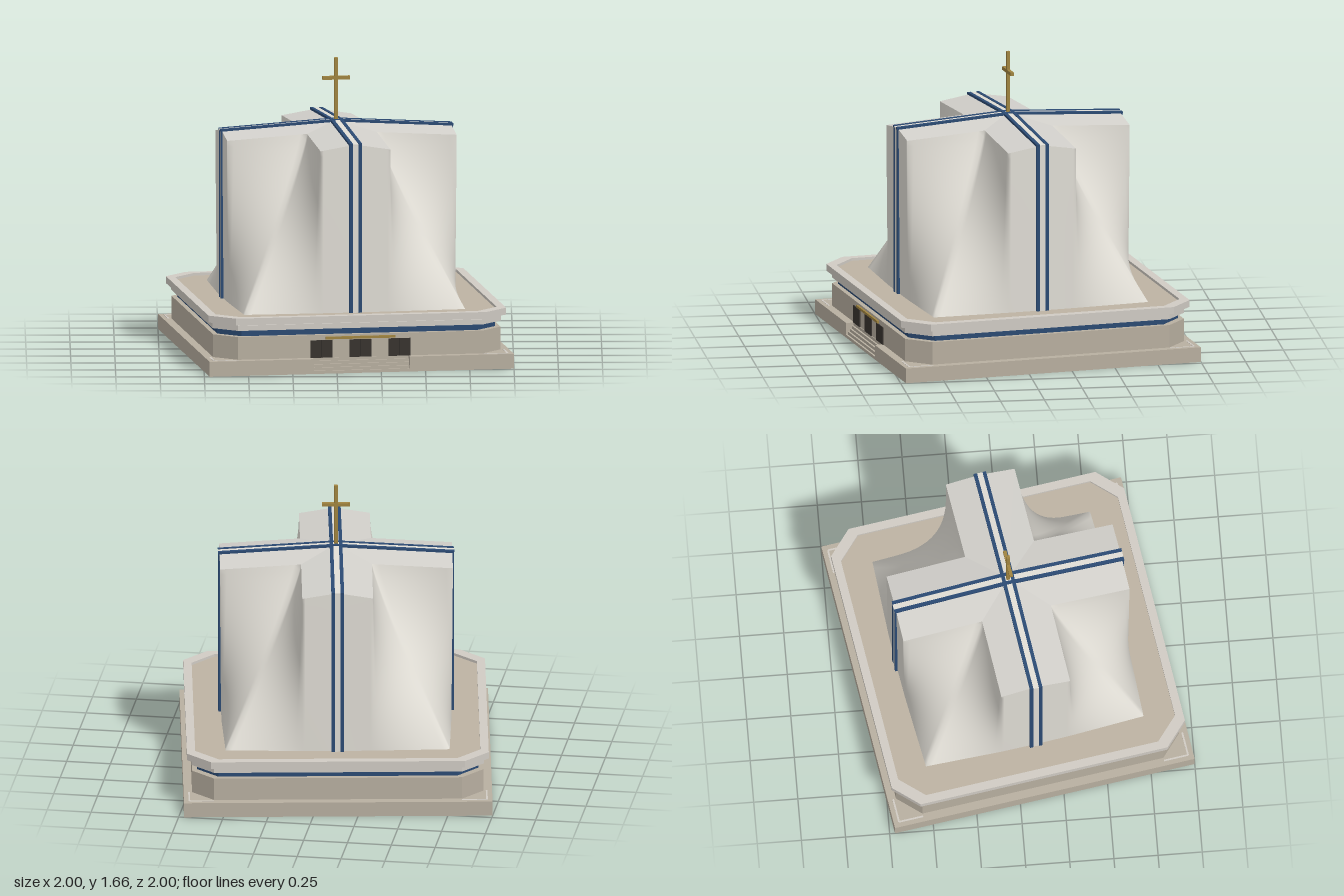
import * as THREE from 'three';

const mat = (color, extra = {}) => new THREE.MeshStandardMaterial({ color, ...extra });
const stone = mat(0xb8afa0), pale = mat(0xd0cbc4), deckTan = mat(0xbdb3a3);
const blue = mat(0x2b4a73), gold = mat(0xa08440), dark = mat(0x38332f), white = mat(0xe0ddd5);

function add(parent, name, geometry, material, x = 0, y = 0, z = 0) {
  const mesh = new THREE.Mesh(geometry, material);
  mesh.name = name;
  mesh.position.set(x, y, z);
  parent.add(mesh);
  return mesh;
}
const box = (parent, name, m, w, h, d, x, y, z) =>
  add(parent, name, new THREE.BoxGeometry(w, h, d), m, x, y, z);

// Plan outlines as [x, z] points
const octagon = (h, c) => [[c, h], [h, c], [h, -c], [c, -h], [-c, -h], [-h, -c], [-h, c], [-c, h]];
const toVectors = (pts) => pts.map(([x, z]) => new THREE.Vector2(x, -z));

// Horizontal slab between two heights, with an optional opening
function slab(parent, name, m, pts, y0, y1, hole) {
  const shape = new THREE.Shape(toVectors(pts));
  if (hole) shape.holes.push(new THREE.Path(toVectors(hole)));
  const g = new THREE.ExtrudeGeometry(shape, { depth: y1 - y0, bevelEnabled: false });
  g.rotateX(-Math.PI / 2);
  return add(parent, name, g, m, 0, y0, 0);
}

// One quarter of the cross plan at the roof [x, z, y], and the matching square foot
const ARM = 0.657, HALF = 0.2, FOOT = 0.32, APEX = 1.31;
const TOP = [[0, ARM, 1.27], [HALF, ARM, 1.237], [HALF, HALF, 1.265], [ARM, HALF, 1.237], [ARM, 0, 1.27]];
const BASE = [[0, 0.65], [HALF, 0.648], [0.635, 0.635], [0.648, HALF], [0.65, 0]];
const turn = (x, z, q) => {
  for (let i = 0; i < q; i++) [x, z] = [z, -x];
  return [x, z];
};

function towerGeometry() {
  const seg = 12, rows = 28, cols = 4 * 4 * seg;
  const pos = [], index = [];
  const mix = THREE.MathUtils.lerp;
  for (let j = 0; j <= rows; j++) {
    const t = j / rows, s = Math.pow(t, 1.15);
    for (let i = 0; i < cols; i++) {
      const q = Math.floor(i / (4 * seg)), k = i % (4 * seg);
      const p = Math.floor(k / seg), f = (k % seg) / seg;
      const [a, b, c, d] = [TOP[p], TOP[p + 1], BASE[p], BASE[p + 1]];
      const x = mix(mix(a[0], b[0], f), mix(c[0], d[0], f), s);
      const z = mix(mix(a[1], b[1], f), mix(c[1], d[1], f), s);
      const [rx, rz] = turn(x, z, q);
      pos.push(rx, mix(mix(a[2], b[2], f), FOOT - 0.015, t), rz);
      if (j < rows) {
        const n = (i + 1) % cols, o = j * cols;
        index.push(o + i, o + cols + i, o + cols + n, o + i, o + cols + n, o + n);
      }
    }
  }
  const g = new THREE.BufferGeometry();
  g.setAttribute('position', new THREE.Float32BufferAttribute(pos, 3));
  g.setIndex(index);
  g.computeVertexNormals();
  return g;
}

function roofGeometry() {
  const pos = [];
  for (let q = 0; q < 4; q++) {
    for (let p = 0; p < 4; p++) {
      pos.push(0, APEX, 0);
      for (const [x, z, y] of [TOP[p], TOP[p + 1]]) {
        const [rx, rz] = turn(x, z, q);
        pos.push(rx, y, rz);
      }
    }
  }
  const g = new THREE.BufferGeometry();
  g.setAttribute('position', new THREE.Float32BufferAttribute(pos, 3));
  g.computeVertexNormals();
  return g;
}

export function createModel() {
  const model = new THREE.Group();
  model.name = 'cathedral';
  const body = new THREE.Group();
  body.name = 'building';
  body.rotation.y = 0.1615;
  model.add(body);

  // Plinth with a stair recess in its front edge
  const P = 0.871, SW = 0.275, SZ = 0.808, PH = 0.085;
  slab(body, 'plinth', stone,
    [[-P, P], [-SW, P], [-SW, SZ], [SW, SZ], [SW, P], [P, P], [P, -P], [-P, -P]], 0, PH);
  for (let i = 0; i < 5; i++) {
    const h = PH * (i + 1) / 5, z1 = P - 0.011 * i;
    box(body, 'frontStep', stone, SW * 2, h, z1 - SZ, 0, h / 2, (z1 + SZ) / 2);
  }

  // Pale corner lines on the plinth
  for (const sx of [-1, 1]) for (const sz of [-1, 1]) {
    box(body, 'cornerLine', pale, 0.14, 0.003, 0.01, sx * 0.77, PH, sz * 0.84);
    box(body, 'cornerLine', pale, 0.01, 0.003, 0.14, sx * 0.84, PH, sz * 0.77);
  }

  // Podium, blue band, cornice and parapet
  slab(body, 'podium', stone, octagon(0.823, 0.7), PH, 0.215);
  slab(body, 'blueBand', blue, octagon(0.795, 0.675), 0.215, 0.25);
  slab(body, 'cornice', pale, octagon(0.825, 0.7), 0.25, 0.28);
  slab(body, 'roofDeck', deckTan, octagon(0.815, 0.69), 0.28, 0.31);
  slab(body, 'parapet', pale, octagon(0.852, 0.717), 0.286, 0.325, octagon(0.805, 0.675));

  // Three double doors under a gilt lintel
  for (const x of [-0.22, 0, 0.22].map((v) => v * 1.015)) {
    for (const s of [-1, 1]) {
      box(body, 'doorLeaf', dark, 0.061, 0.1, 0.012, x + s * 0.0315, PH + 0.05, 0.823);
    }
  }
  box(body, 'doorLintel', gold, 0.4, 0.014, 0.02, 0, 0.197, 0.825);

  // Tower shell twisting from a square foot to a cross
  add(body, 'towerShell', towerGeometry(), mat(0xe0ddd5, { side: THREE.DoubleSide }));
  add(body, 'crossRoof', roofGeometry(), mat(0xd2d0cb, { side: THREE.DoubleSide, flatShading: true }));

  // Striped bands along each ridge and down each arm end
  const slope = Math.atan2(APEX - 1.27, ARM), len = Math.hypot(APEX - 1.27, ARM) + 0.01;
  for (let q = 0; q < 4; q++) {
    const arm = new THREE.Group();
    arm.name = 'armBand';
    arm.rotation.y = q * Math.PI / 2;
    body.add(arm);
    const strips = [[-0.026, 0.02, blue, 0.014], [0.026, 0.02, blue, 0.014], [0, 0.032, white, 0.008]];
    for (const [x, w, m, d] of strips) {
      const ridge = box(arm, 'ridgeStrip', m, w, d, len, x, (APEX + 1.27) / 2, ARM / 2 + 0.005);
      ridge.rotation.x = slope;
      box(arm, 'wallStrip', m, w, 1.272 - FOOT + 0.01, d + 0.006, x, (1.272 + FOOT - 0.01) / 2, 0.655);
    }
  }

  // Gilt cross on the apex
  box(body, 'crossPost', gold, 0.02, 0.365, 0.02, 0, 1.4825, 0);
  box(body, 'crossBar', gold, 0.157, 0.02, 0.02, 0, 1.55, 0);

  return model;
}
